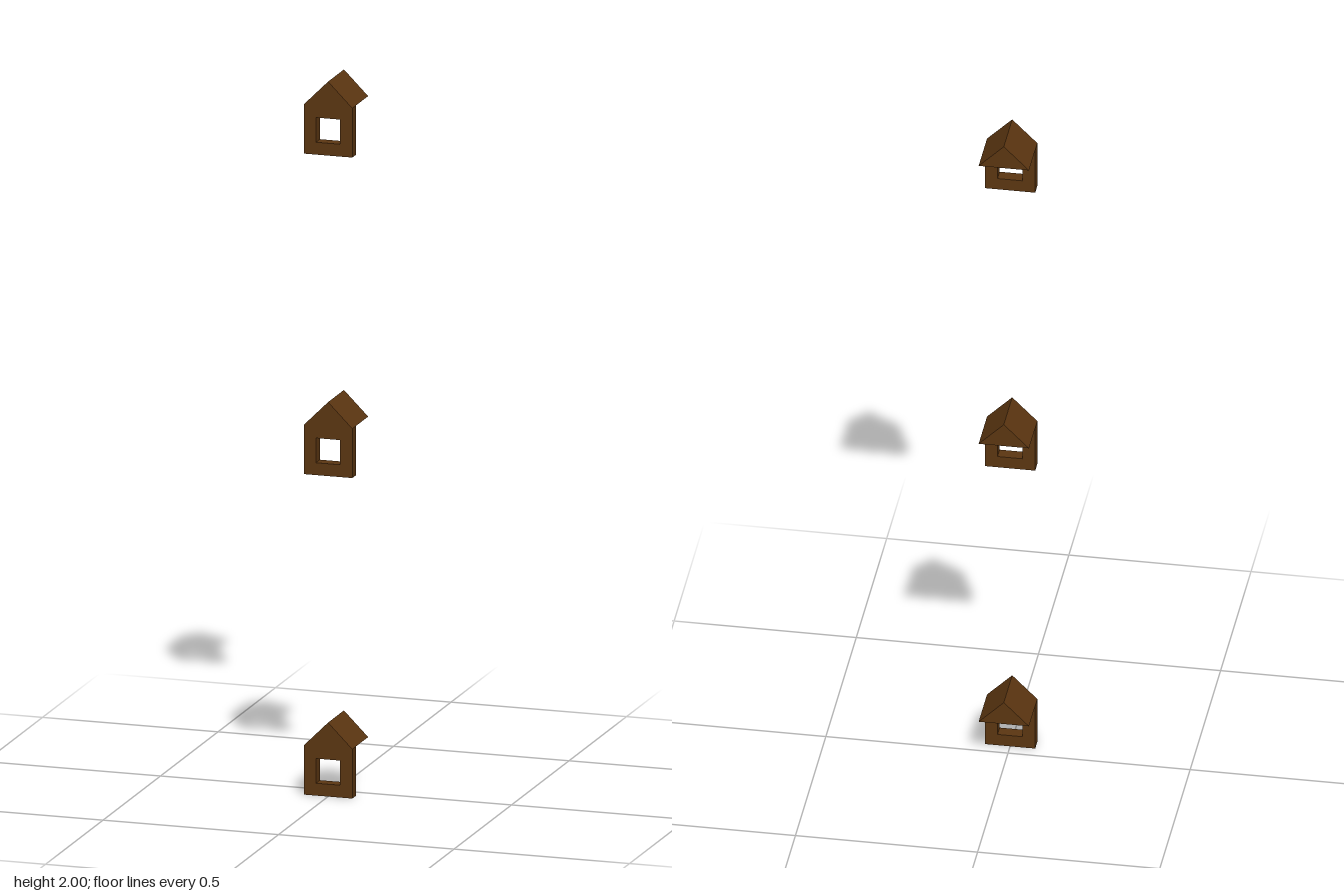
import * as THREE from 'three';

const U = 2 / 29; // grid unit: the stack is 29 units tall

function polygon(points, Type = THREE.Shape) {
  return new Type(points.map(([x, y]) => new THREE.Vector2(x * U, y * U)));
}

function extrude(shape, z0, z1) {
  const geometry = new THREE.ExtrudeGeometry(shape, { depth: (z1 - z0) * U, bevelEnabled: false });
  return geometry.translate(0, 0, z0 * U);
}

export function createModel() {
  const wood = new THREE.MeshStandardMaterial({ color: 0x5c3611 });
  wood.name = 'darkWood';

  // Front wall with a square window opening
  const wallShape = polygon([[-1, 0], [1, 0], [1, 2], [-1, 2]]);
  wallShape.holes.push(polygon([[-0.5, 0.5], [-0.5, 1.5], [0.5, 1.5], [0.5, 0.5]], THREE.Path));
  const wallGeometry = extrude(wallShape, 0.5, 1);

  // Solid gable roof running backwards from the wall
  const roofGeometry = extrude(polygon([[-1, 2], [1, 2], [0, 3]]), -1, 1);

  const model = new THREE.Group();
  model.name = 'dormerWindows';

  // Three identical dormers, one above the other
  ['lower', 'middle', 'upper'].forEach((level, i) => {
    const dormer = new THREE.Group();
    dormer.name = `${level}Dormer`;
    const wall = new THREE.Mesh(wallGeometry, wood);
    wall.name = 'windowWall';
    const roof = new THREE.Mesh(roofGeometry, wood);
    roof.name = 'gableRoof';
    dormer.add(wall, roof);
    dormer.position.y = i * 13 * U;
    model.add(dormer);
  });

  return model;
}
